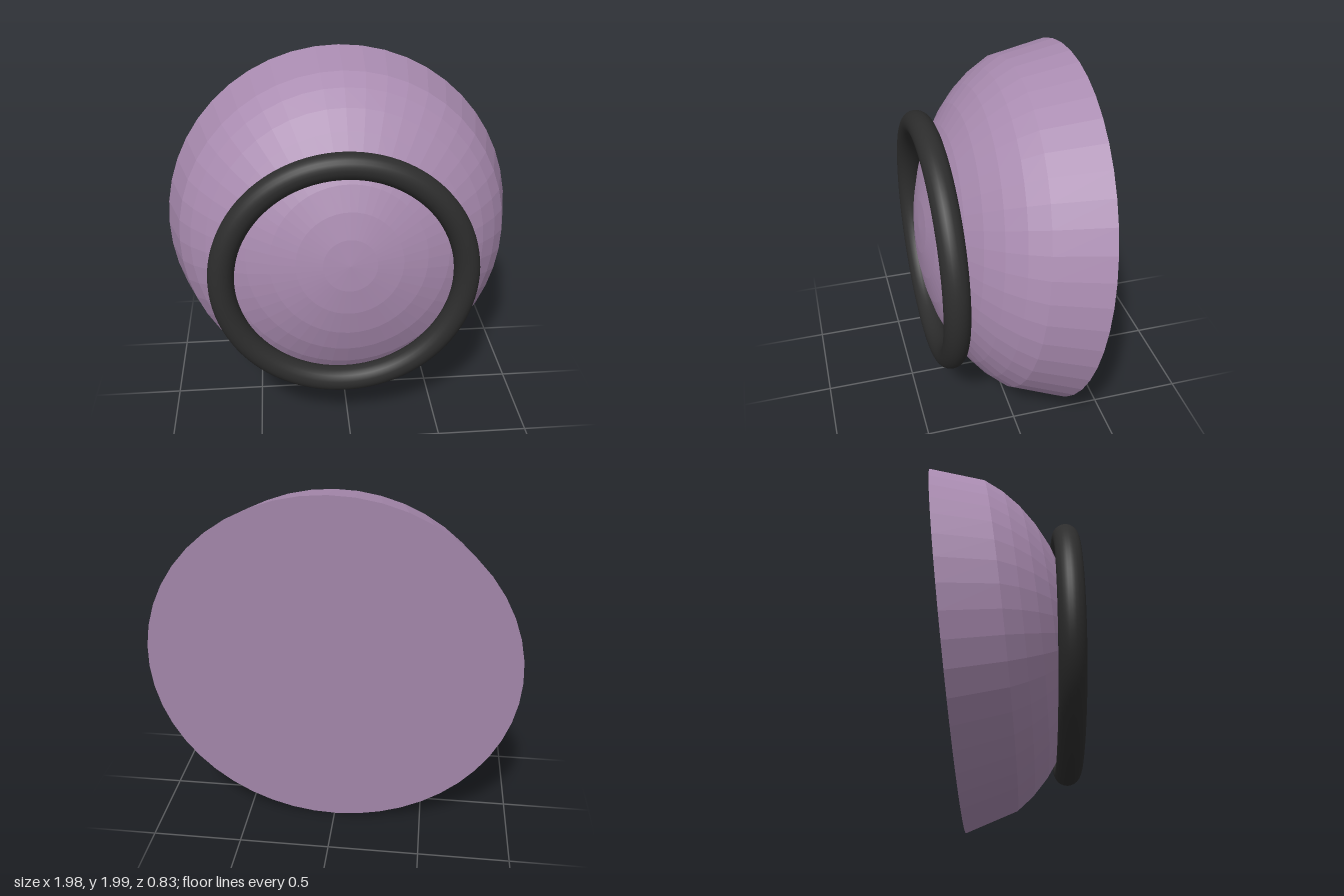
import * as THREE from 'three';

const mauve = new THREE.MeshStandardMaterial({ color: 0xa98bb0 });
mauve.name = 'mauve';
mauve.flatShading = true;
const charcoal = new THREE.MeshStandardMaterial({ color: 0x2d2d2d });
charcoal.name = 'charcoal';

export function createModel() {
  const group = new THREE.Group();
  group.name = 'domeWithRing';

  // Flattened dome: flat back, wide straight rim band, then elliptical rows
  const depth = 0.717, first = 23.6, rows = 8;
  const profile = [new THREE.Vector2(0, 0), new THREE.Vector2(1.003, 0)];
  for (let i = 0; i < rows; i++) {
    const t = THREE.MathUtils.degToRad(first + (90 - first) * i / rows);
    profile.push(new THREE.Vector2(Math.cos(t), depth * Math.sin(t)));
  }
  profile.push(new THREE.Vector2(0, depth));
  const dome = new THREE.Mesh(new THREE.LatheGeometry(profile, 48), mauve);
  dome.name = 'dome';
  dome.scale.x = 0.985;
  dome.position.set(-0.003, 1.002, -0.305);
  // Its axis faces the front, leaning slightly upward
  dome.quaternion.setFromUnitVectors(
    new THREE.Vector3(0, 1, 0),
    new THREE.Vector3(0.008, 0.105, 0.9945).normalize()
  );
  group.add(dome);

  // Upright ring around the front of the dome
  const ring = new THREE.Mesh(new THREE.TorusGeometry(0.647, 0.069, 24, 96), charcoal);
  ring.name = 'ring';
  ring.position.set(-0.021, 0.963, 0.341);
  group.add(ring);

  return group;
}
